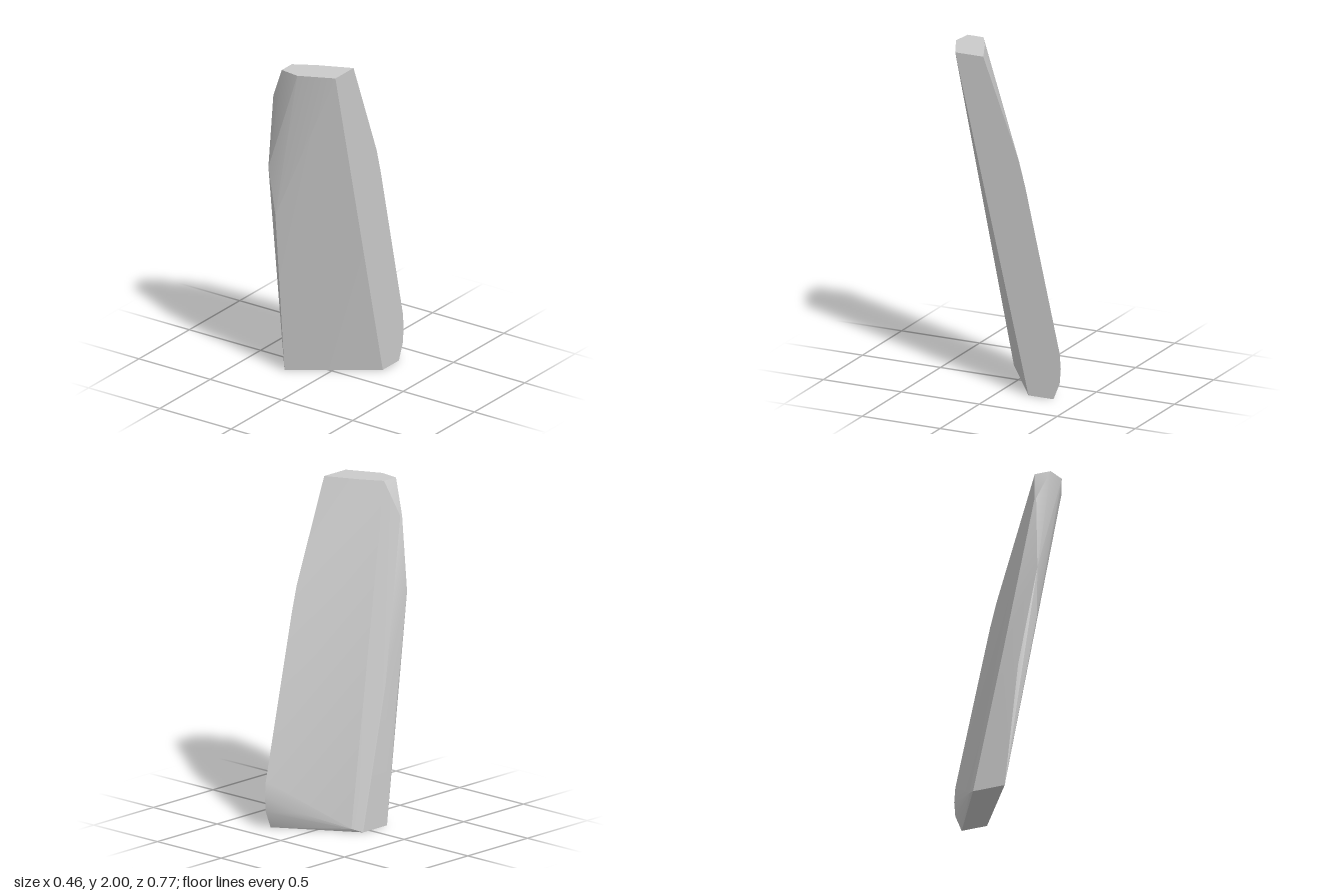
import * as THREE from 'three';
import { ConvexGeometry } from 'three/addons/geometries/ConvexGeometry.js';
import { toCreasedNormals } from 'three/addons/utils/BufferGeometryUtils.js';

// Corners of the leaning stone slab, grouped by the side they lie on
const topCorners = [
  [-0.09, 2, 0.27], [-0.09, 2, 0.37], [0.03, 2, 0.385],
  [0.23, 2, 0.29], [0.23, 2, 0.11], [0.03, 2, 0.2],
];
const bottomCorners = [
  [-0.23, 0, 0.145], [0.23, 0, -0.18], [0.23, 0, -0.34], [-0.23, 0, -0.055],
];
// Back edge of the flat left side, worn round at the foot and shoulder
const leftSideBack = [
  [0.23, 0.1, -0.38], [0.23, 0.19, -0.387], [0.23, 0.28, -0.38],
  [0.23, 1.25, -0.16], [0.23, 1.4, -0.12],
];
// Narrow right side, tapering towards the top
const rightSide = [
  [-0.23, 0.85, 0.135], [-0.23, 0.75, 0.23], [-0.17, 1.05, 0.32],
  [-0.205, 1.35, 0.34], [-0.18, 1.8, 0.31], [-0.183, 1.8, 0.322],
];
// Worn lower edge of the back
const backFoot = [[0.05, 0.1, -0.27], [-0.18, 0.02, -0.1]];

export function createModel() {
  const group = new THREE.Group();
  group.name = 'standingStone';

  const points = [...topCorners, ...bottomCorners, ...leftSideBack, ...rightSide, ...backFoot]
    .map((p) => new THREE.Vector3(...p));
  const geometry = toCreasedNormals(new ConvexGeometry(points), 0.5);

  const stone = new THREE.Mesh(geometry, new THREE.MeshStandardMaterial({ color: 0xcccccc }));
  stone.name = 'stoneSlab';
  group.add(stone);
  return group;
}
